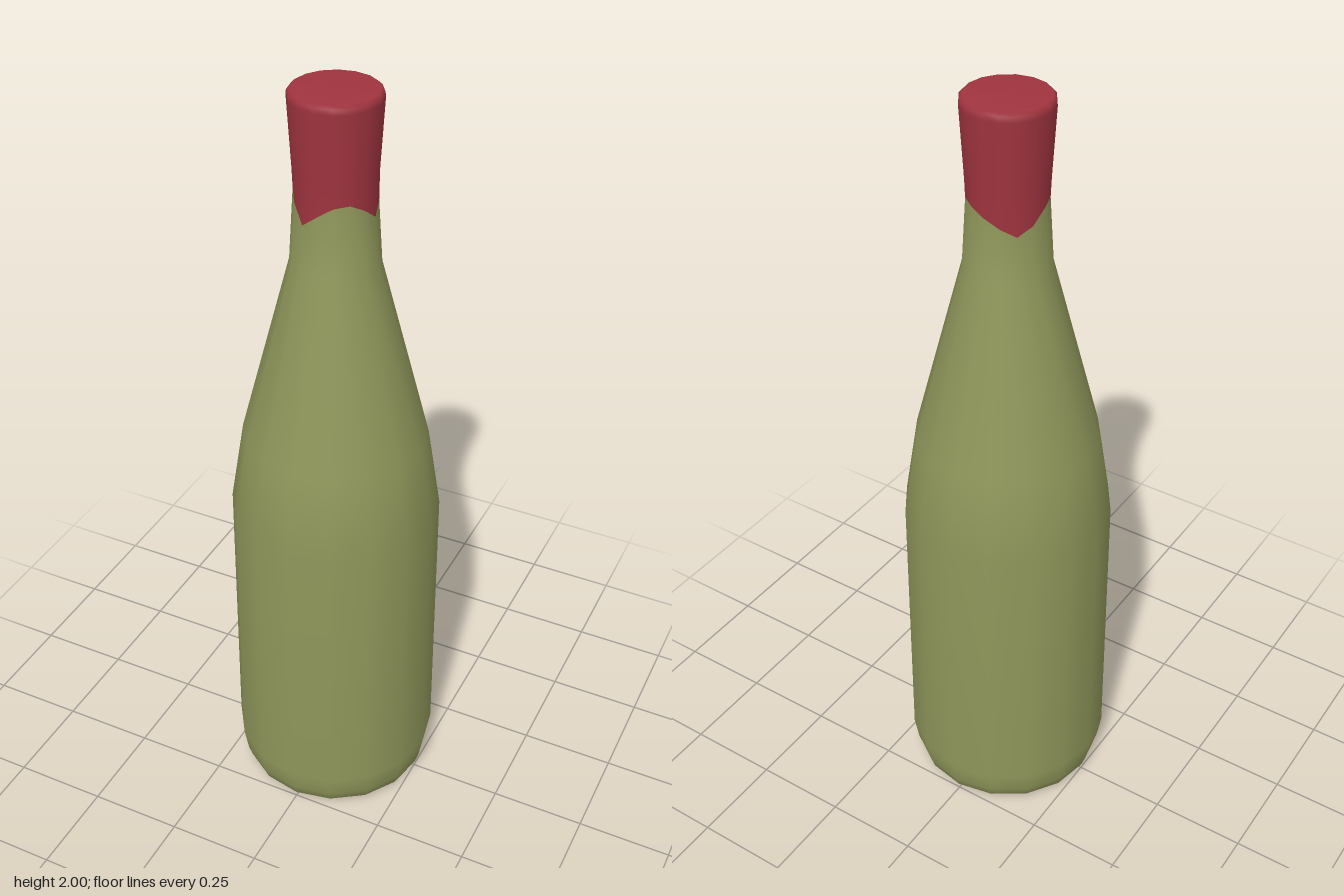
import * as THREE from 'three';

const SIDES = 16;
// Height of the wavy foil edge at each side, going round from the front towards +x
const EDGE = [1.73, 1.755, 1.76, 1.74, 1.71, 1.735, 1.76, 1.755, 1.74, 1.72, 1.70, 1.72, 1.75, 1.76, 1.74, 1.70];
// Neck radius near the foil edge
const neckRadius = (y) => 0.098 + Math.max(0, 1.76 - y) * 0.05;

// Turned part whose ring number `ring` follows the wavy foil edge
function turned(name, color, profile, ring) {
  const points = profile.map(([r, y]) => new THREE.Vector2(r, y));
  const geometry = new THREE.LatheGeometry(points, SIDES);
  const pos = geometry.attributes.position;
  for (let i = 0; i <= SIDES; i++) {
    const y = EDGE[i % SIDES];
    const a = (i / SIDES) * Math.PI * 2;
    const r = neckRadius(y);
    pos.setXYZ(i * points.length + ring, r * Math.sin(a), y, r * Math.cos(a));
  }
  const mesh = new THREE.Mesh(geometry, new THREE.MeshStandardMaterial({ color, side: THREE.DoubleSide }));
  mesh.name = name;
  return mesh;
}

export function createModel() {
  const group = new THREE.Group();
  group.name = 'bottle';

  // Glass: hollow punt underneath, rounded foot, straight body, sloping shoulder, neck
  const glass = [
    [0, 0.09], [0.09, 0.08], [0.17, 0.045], [0.215, 0.006], [0.235, 0],
    [0.252, 0.015], [0.262, 0.045], [0.273, 0.11], [0.269, 0.88],
    [0.234, 1.1], [0.109, 1.58], [0.098, 1.74],
  ];
  group.add(turned('glassBody', 0x8f965a, glass, glass.length - 1));

  // Foil capsule: flares slightly upwards to a softened flat top
  const foil = [[0.098, 1.74], [0.1, 1.81], [0.11, 1.98], [0.109, 1.993], [0.102, 2], [0, 2]];
  group.add(turned('foilCapsule', 0xa0343f, foil, 0));

  return group;
}
